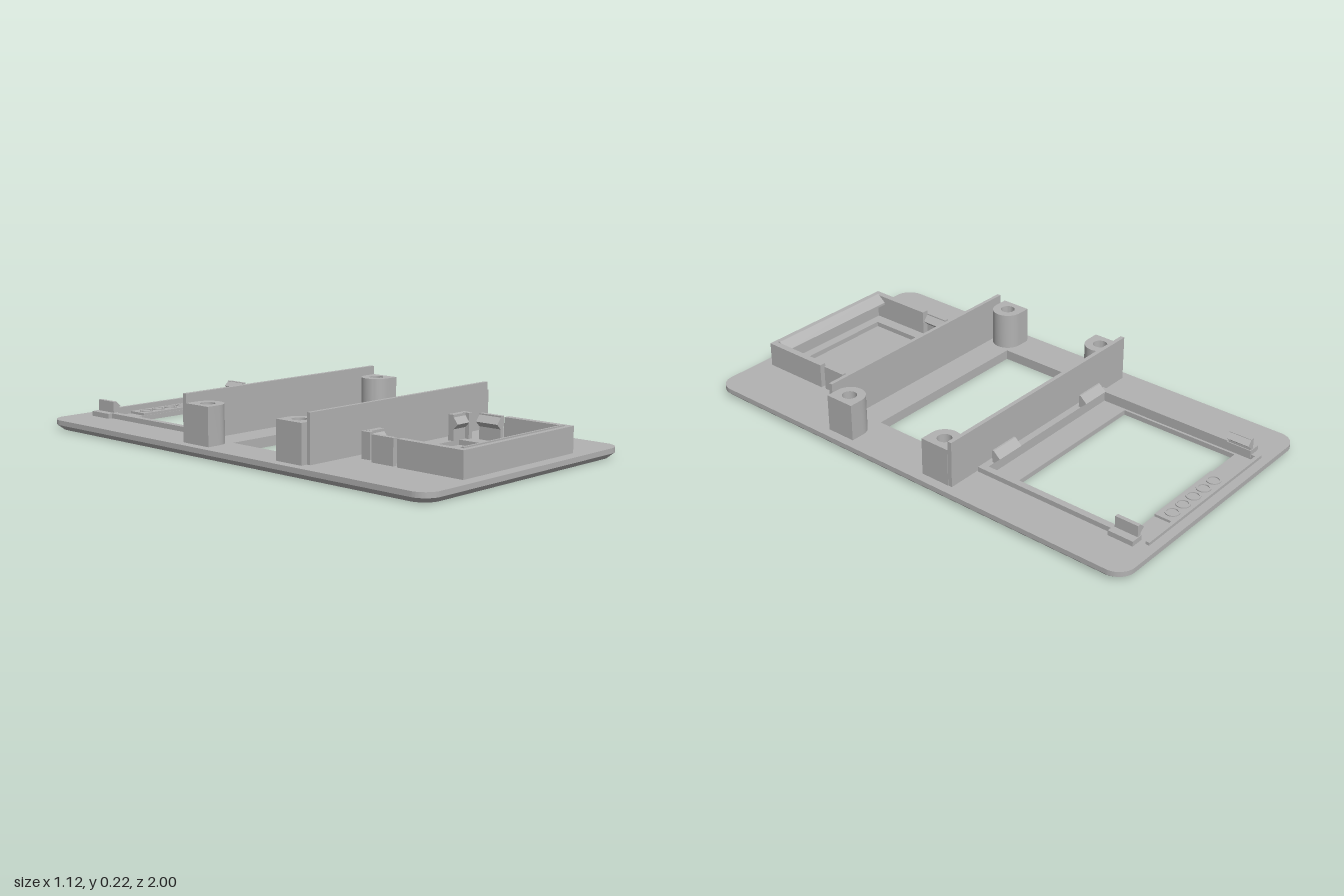
import * as THREE from 'three';
import { toCreasedNormals } from 'three/addons/utils/BufferGeometryUtils.js';

const grey = new THREE.MeshStandardMaterial({ color: 0xb2b2b2 });
grey.name = 'matte grey';

export function createModel() {
  const model = new THREE.Group();
  model.name = 'mountingPanel';

  const add = (name, geometry) => {
    const mesh = new THREE.Mesh(toCreasedNormals(geometry, 0.5), grey);
    mesh.name = name;
    model.add(mesh);
    return mesh;
  };
  // Box from its limits
  const box = (name, x0, x1, y0, y1, z0, z1) => {
    const g = new THREE.BoxGeometry(Math.abs(x1 - x0), y1 - y0, z1 - z0);
    return add(name, g.translate((x0 + x1) / 2, (y0 + y1) / 2, (z0 + z1) / 2));
  };
  // Plan shape (x, z) extruded between two heights
  const slab = (shape, y0, y1) => new THREE.ExtrudeGeometry(shape,
    { depth: y1 - y0, bevelEnabled: false, curveSegments: 10 }).rotateX(Math.PI / 2).translate(0, y1, 0);
  // Side profile of [z, y] points extruded along x
  const prismX = (name, pts, x0, x1) => {
    const shape = new THREE.Shape(pts.map(([z, y]) => new THREE.Vector2(-z, y)));
    const g = new THREE.ExtrudeGeometry(shape, { depth: x1 - x0, bevelEnabled: false });
    return add(name, g.rotateY(Math.PI / 2).translate(x0, 0, 0));
  };
  // Front profile of [x, y] points extruded along z
  const prismZ = (name, pts, z0, z1) => {
    const shape = new THREE.Shape(pts.map(([x, y]) => new THREE.Vector2(x, y)));
    const g = new THREE.ExtrudeGeometry(shape, { depth: z1 - z0, bevelEnabled: false });
    return add(name, g.translate(0, 0, z0));
  };
  const path = (pts) => new THREE.Path(pts.map(([x, z]) => new THREE.Vector2(x, z)));
  const rect = (x0, x1, z0, z1) => path([[x0, z0], [x1, z0], [x1, z1], [x0, z1]]);

  // Panel outline with rounded corners
  const outline = () => {
    const s = new THREE.Shape(), w = 0.56, l = 1, r = 0.07;
    s.absarc(w - r, l - r, r, 0, Math.PI / 2);
    s.absarc(-w + r, l - r, r, Math.PI / 2, Math.PI);
    s.absarc(-w + r, -l + r, r, Math.PI, Math.PI * 1.5);
    s.absarc(w - r, -l + r, r, Math.PI * 1.5, Math.PI * 2);
    return s;
  };

  // Lower layer: two windows, chamfered outer edge
  const lower = outline();
  const middleWindow = () => rect(-0.4, 0.36, -0.075, 0.29);
  lower.holes.push(rect(-0.345, 0.34, -0.86, -0.355), middleWindow());
  const lowerGeo = slab(lower, 0, 0.02);
  const p = lowerGeo.attributes.position;
  for (let i = 0; i < p.count; i++) {
    if (p.getY(i) < 0.01 && (Math.abs(p.getX(i)) > 0.48 || Math.abs(p.getZ(i)) > 0.9)) {
      p.setX(i, p.getX(i) * 0.964);
      p.setZ(i, p.getZ(i) * 0.98);
    }
  }
  lowerGeo.computeVertexNormals();
  add('panelLower', lowerGeo);

  // Upper layer: window ledges and the sunken tray floor
  const upper = outline();
  upper.holes.push(rect(-0.355, 0.35, -0.95, -0.25), middleWindow(), rect(-0.24, 0.235, 0.49, 0.885));
  add('panelUpper', slab(upper, 0.02, 0.04));

  // Tall cross walls
  box('frontCrossWall', -0.495, 0.495, 0.04, 0.225, 0.405, 0.42);
  box('backCrossWall', -0.52, 0.52, 0.04, 0.225, -0.217, -0.2);

  // Screw bosses: square outside, rounded inside
  for (const side of [-1, 1]) {
    for (const [z, name] of [[0.342, 'frontScrewBoss'], [-0.138, 'backScrewBoss']]) {
      const r = 0.062, cx = 0.467 * side;
      const boss = new THREE.Shape();
      boss.moveTo(0.522 * side, z - r);
      boss.lineTo(cx, z - r);
      boss.absarc(cx, z, r, -Math.PI / 2, Math.PI / 2, side > 0);
      boss.lineTo(0.522 * side, z + r);
      boss.closePath();
      boss.holes.push(new THREE.Path().absarc(cx, z, 0.029, 0, Math.PI * 2));
      add(name, slab(boss, 0.04, 0.19));
    }
  }

  // Front tray: three walls and an overhanging lip
  const tray = new THREE.Shape([[-0.315, 0.66], [-0.315, 0.95], [0.315, 0.95], [0.315, 0.66],
    [0.288, 0.66], [0.288, 0.924], [-0.288, 0.924], [-0.288, 0.66]].map(([x, z]) => new THREE.Vector2(x, z)));
  add('trayWalls', slab(tray, 0.04, 0.14));
  prismX('trayLip', [[0.93, 0.1], [0.93, 0.145], [0.922, 0.145], [0.885, 0.115], [0.885, 0.105]], -0.288, 0.288);

  for (const s of [-1, 1]) {
    // Tray side clips with inward hooks
    box('traySideClip', s * 0.293, s * 0.312, 0.04, 0.14, 0.54, 0.64);
    prismZ('traySideHook', [[s * 0.293, 0.135], [s * 0.272, 0.11], [s * 0.293, 0.09]].sort(() => 0)
      .slice()[s > 0 ? 'valueOf' : 'reverse'](), 0.54, 0.64);
    // Tray back clips with forward hooks
    const a = s > 0 ? 0.195 : -0.265;
    box('trayBackClip', a, a + 0.07, 0.04, 0.14, 0.47, 0.495);
    prismX('trayBackHook', [[0.495, 0.13], [0.515, 0.105], [0.495, 0.085]], a, a + 0.07);
    box('trayCornerPost', s * 0.268, s * 0.288, 0.04, 0.14, 0.47, 0.51);

    // Low side rails of the back frame
    box('backFrameRail', s * 0.355, s * 0.382, 0.03, 0.06, -0.82, -0.222);
    // Back frame side clips
    box('backClipBase', s * 0.348, s * 0.4, 0.03, 0.06, -0.925, -0.82);
    box('backClip', s * 0.352, s * 0.368, 0.04, 0.105, -0.922, -0.826);
    prismZ('backClipHook', [[s * 0.352, 0.103], [s * 0.332, 0.085], [s * 0.352, 0.07]], -0.922, -0.826);
    // Wedge hooks on the frame's front rail
    const b = s > 0 ? 0.198 : -0.323;
    prismX('frontRailHook', [[-0.24, 0.055], [-0.24, 0.11], [-0.247, 0.11], [-0.276, 0.084], [-0.25, 0.06], [-0.25, 0.055]], b, b + 0.125);
  }
  box('backFrameFrontRail', -0.382, 0.382, 0.03, 0.06, -0.25, -0.222);
  box('backFrameRearRim', -0.36, 0.36, 0.03, 0.052, -0.965, -0.95);

  // Raised pad with a row of rings on the rear ledge
  box('ledgePad', -0.18, 0.18, 0.02, 0.03, -0.95, -0.862);
  for (let i = -2; i <= 2; i++) {
    const ring = new THREE.Shape().absarc(i * 0.066, -0.905, 0.028, 0, Math.PI * 2);
    ring.holes.push(new THREE.Path().absarc(i * 0.066, -0.905, 0.021, 0, Math.PI * 2));
    add('ledgeRing', slab(ring, 0.03, 0.034));
  }
  return model;
}
